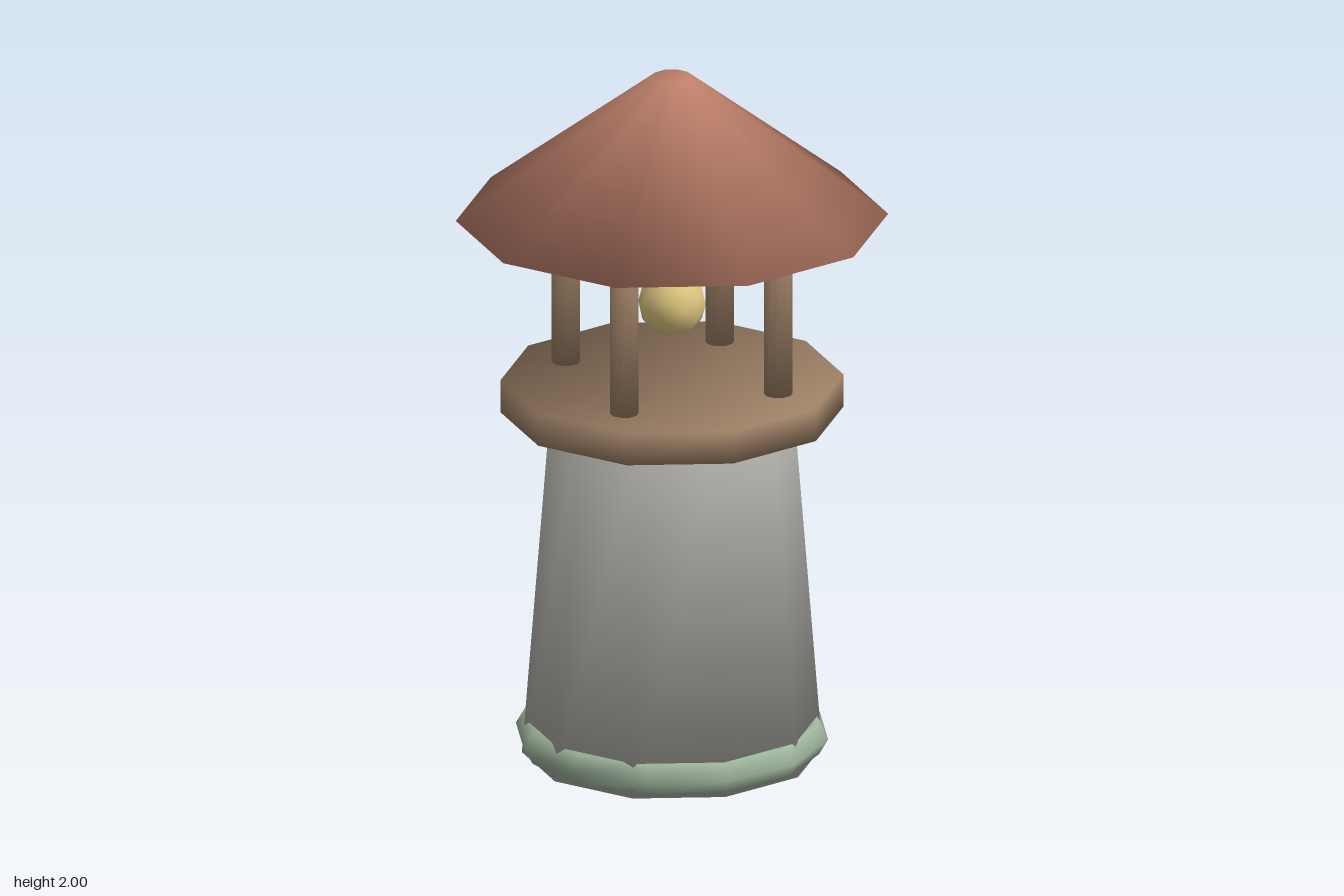
import * as THREE from 'three';

const SIDES = 10;

function material(name, color) {
  const m = new THREE.MeshStandardMaterial({ color });
  m.name = name;
  return m;
}

// Closed tapered prism with shared, angle-weighted normals that run softly over the rims
function softFrustum(rBottom, rTop, y0, y1, sides = SIDES) {
  const step = (Math.PI * 2) / sides;
  const apothem = Math.cos(step / 2);
  const run = (rBottom - rTop) * apothem;
  const slant = Math.hypot(run, y1 - y0);
  const wallOut = (y1 - y0) / slant, wallUp = run / slant;
  const baseAngle = Math.atan2(slant, (rBottom - rTop) * Math.sin(step / 2));
  const capAngle = Math.PI - step;

  const positions = [], normals = [], index = [];
  for (const [r, y, wallAngle, capUp] of [[rBottom, y0, baseAngle, -1], [rTop, y1, Math.PI - baseAngle, 1]]) {
    const n = new THREE.Vector2(2 * wallAngle * wallOut * apothem, 2 * wallAngle * wallUp + capAngle * capUp).normalize();
    for (let i = 0; i < sides; i++) {
      const s = Math.sin(i * step), c = Math.cos(i * step);
      positions.push(r * s, y, r * c);
      normals.push(n.x * s, n.y, n.x * c);
    }
  }
  for (let i = 0; i < sides; i++) {
    const j = (i + 1) % sides;
    index.push(i, j, sides + j, i, sides + j, sides + i);
    if (i > 0 && i < sides - 1) {
      index.push(0, i + 1, i); // bottom cap
      index.push(sides, sides + i, sides + i + 1); // top cap
    }
  }
  const g = new THREE.BufferGeometry();
  g.setAttribute('position', new THREE.Float32BufferAttribute(positions, 3));
  g.setAttribute('normal', new THREE.Float32BufferAttribute(normals, 3));
  g.setIndex(index);
  return g;
}

export function createModel() {
  const model = new THREE.Group();
  model.name = 'lighthouse';
  const stone = material('grey stone', 0xa9a8a3);
  const wood = material('brown wood', 0x9c7f65);
  const tile = material('terracotta roof', 0xbd7f6a);
  const moss = material('green moss', 0x9db39b);
  const glow = material('yellow lamp', 0xdcc47e);

  const add = (name, geometry, mat) => {
    const mesh = new THREE.Mesh(geometry, mat);
    mesh.name = name;
    model.add(mesh);
    return mesh;
  };

  // Tapered tower, gallery deck and roof
  add('tower', softFrustum(0.42, 0.34, 0, 1.02), stone);
  add('galleryDeck', softFrustum(0.48, 0.48, 1.01, 1.105), wood);
  add('roof', softFrustum(0.605, 0.055, 1.58, 2), tile);

  // Moss ring around the foot
  const ring = new THREE.TorusGeometry(0.39, 0.052, 6, 12);
  ring.rotateX(Math.PI / 2);
  add('mossRing', ring, moss).position.y = 0.055;

  // Four posts carrying the roof
  const post = softFrustum(0.04, 0.04, 1.1, 1.58);
  for (const x of [-1, 1]) {
    for (const z of [-1, 1]) {
      add(`${z > 0 ? 'front' : 'back'}${x > 0 ? 'Left' : 'Right'}Post`, post, wood).position.set(x * 0.23, 0, z * 0.23);
    }
  }

  // Lamp hanging in the open lantern room
  add('lamp', new THREE.IcosahedronGeometry(0.096, 1), glow).position.y = 1.327;

  return model;
}
